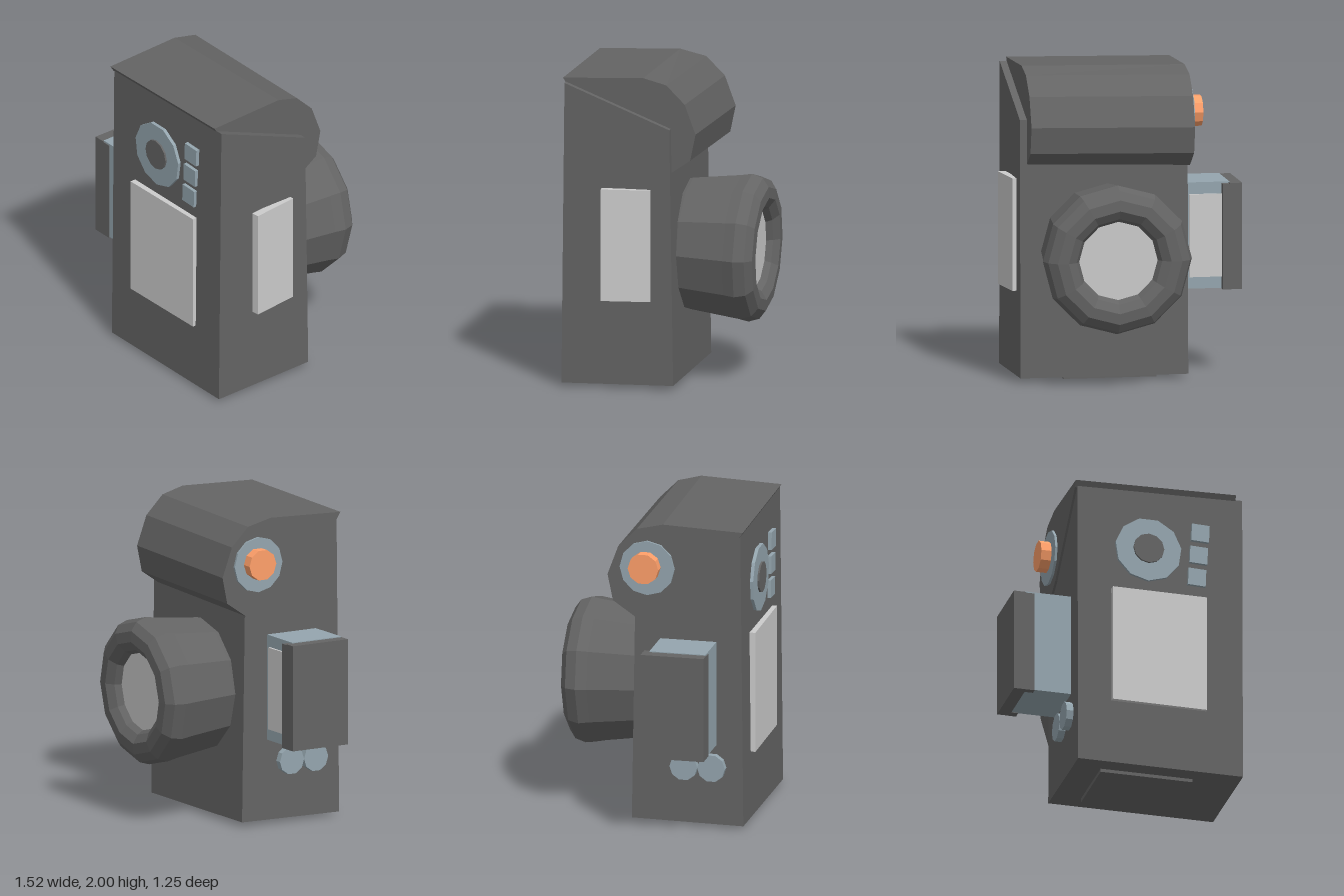
import * as THREE from 'three';

const paint = (color) => new THREE.MeshStandardMaterial({ color, flatShading: true, side: THREE.DoubleSide });

export function createModel() {
  const group = new THREE.Group();
  const dark = paint(0x646464), blue = paint(0x94a5ae), orange = paint(0xffa06a), grey = paint(0xcccccc);

  const add = (name, geometry, material) => {
    const mesh = new THREE.Mesh(geometry, material);
    mesh.name = name;
    group.add(mesh);
    return mesh;
  };
  // box given by its extents on each axis
  const box = (name, [x0, x1], [y0, y1], [z0, z1], material) => {
    const mesh = add(name, new THREE.BoxGeometry(x1 - x0, y1 - y0, z1 - z0), material);
    mesh.position.set((x0 + x1) / 2, (y0 + y1) / 2, (z0 + z1) / 2);
    return mesh;
  };
  // side profile of [z, y] points stretched from x0 to x1
  const prism = (name, points, x0, x1, material) => {
    const shape = new THREE.Shape(points.map(([z, y]) => new THREE.Vector2(z, y)));
    const geometry = new THREE.ExtrudeGeometry(shape, { depth: x1 - x0, bevelEnabled: false });
    geometry.rotateY(-Math.PI / 2).translate(x1, 0, 0);
    return add(name, geometry, material);
  };
  // faceted disc whose axis runs along x or z
  const disc = (name, axis, r, depth, sides, [x, y, z], material) => {
    const geometry = new THREE.CylinderGeometry(r, r, depth, sides);
    if (axis === 'x') geometry.rotateZ(Math.PI / 2);
    else geometry.rotateX(Math.PI / 2);
    const mesh = add(name, geometry, material);
    mesh.position.set(x, y, z);
    return mesh;
  };

  // main case with a top that slopes down to the back
  prism('body', [[0.6, 0.02], [0.58, 1.955], [-0.1, 1.68], [-0.125, 0.03]], -0.38, 0.7, dark);

  // rounded head lying across the top, slightly skewed
  const head = prism('head', [
    [0.6, 1.98], [0.08, 2.0], [-0.09, 1.96], [-0.21, 1.84], [-0.28, 1.65],
    [-0.245, 1.48], [-0.1, 1.38], [0.1, 1.5], [0.575, 1.94],
  ], -0.395, 0.655, dark);
  const p = head.geometry.attributes.position;
  for (let i = 0; i < p.count; i++) {
    const t = (0.655 - p.getX(i)) / 1.05;
    p.setY(i, p.getY(i) - 0.02 * t);
    if (p.getZ(i) < 0) p.setZ(i, p.getZ(i) + 0.02 * (1 - t));
  }
  head.geometry.computeVertexNormals();

  // lens barrel with a rolled rim and a recessed glass
  const lens = new THREE.Group();
  lens.name = 'lens';
  const profile = [
    [0.41, -0.04], [0.425, 0.02], [0.465, 0.33], [0.478, 0.4], [0.455, 0.47],
    [0.4, 0.51], [0.33, 0.515], [0.275, 0.48], [0.24, 0.42],
  ].map(([r, h]) => new THREE.Vector2(r, h));
  const barrel = add('lensBarrel', new THREE.LatheGeometry(profile, 12).rotateX(-Math.PI / 2), dark);
  const glass = add('lensGlass', new THREE.CylinderGeometry(0.26, 0.26, 0.02, 12).rotateX(-Math.PI / 2), grey);
  glass.position.z = -0.43;
  lens.add(barrel, glass);
  lens.position.set(0.14, 0.84, -0.1);
  lens.rotation.set(-0.025, -0.02, 0);
  group.add(lens);

  // front dial, buttons and screen
  disc('dialRing', 'z', 0.217, 0.05, 11, [0.08, 1.53, 0.58], blue);
  disc('dialCentre', 'z', 0.1, 0.05, 12, [0.08, 1.535, 0.592], dark);
  for (let i = 0; i < 3; i++) {
    const x = 0.42 - i * 0.011, y = 1.685 - i * 0.155;
    box('button', [x - 0.058, x + 0.058], [y - 0.058, y + 0.058], [0.56, 0.607], blue).rotation.z = -0.04;
  }
  box('screen', [-0.16, 0.46], [0.45, 1.235], [0.58, 0.622], grey).rotation.y = 0.012;

  // plate on the left side and panel under the base
  const plate = box('sidePlate', [0.695, 0.745], [0.57, 1.29], [0.02, 0.335], grey);
  plate.rotation.y = 0.11;
  plate.position.x = 0.718;
  box('basePanel', [-0.2, 0.4], [0, 0.04], [0, 0.48], dark);

  // side grip: block, outer cover and rear panel
  box('gripBlock', [-0.68, -0.36], [0.545, 1.225], [0.06, 0.425], blue);
  box('gripCover', [-0.755, -0.675], [0.54, 1.22], [0.02, 0.43], dark);
  box('gripCoverFront', [-0.68, -0.62], [0.54, 1.215], [0.39, 0.43], dark);
  box('gripCoverRear', [-0.68, -0.63], [0.54, 1.215], [0.018, 0.07], dark);
  box('gripRearPanel', [-0.63, -0.42], [0.62, 1.15], [0.045, 0.07], grey);

  // knobs on the right side
  disc('knobBase', 'x', 0.178, 0.04, 12, [-0.39, 1.69, -0.02], blue);
  disc('knob', 'x', 0.1, 0.09, 10, [-0.432, 1.7, -0.03], orange);
  for (const z of [0.22, 0.4]) disc('smallKnob', 'x', 0.09, 0.06, 10, [-0.395, 0.4, z], blue);

  return group;
}
